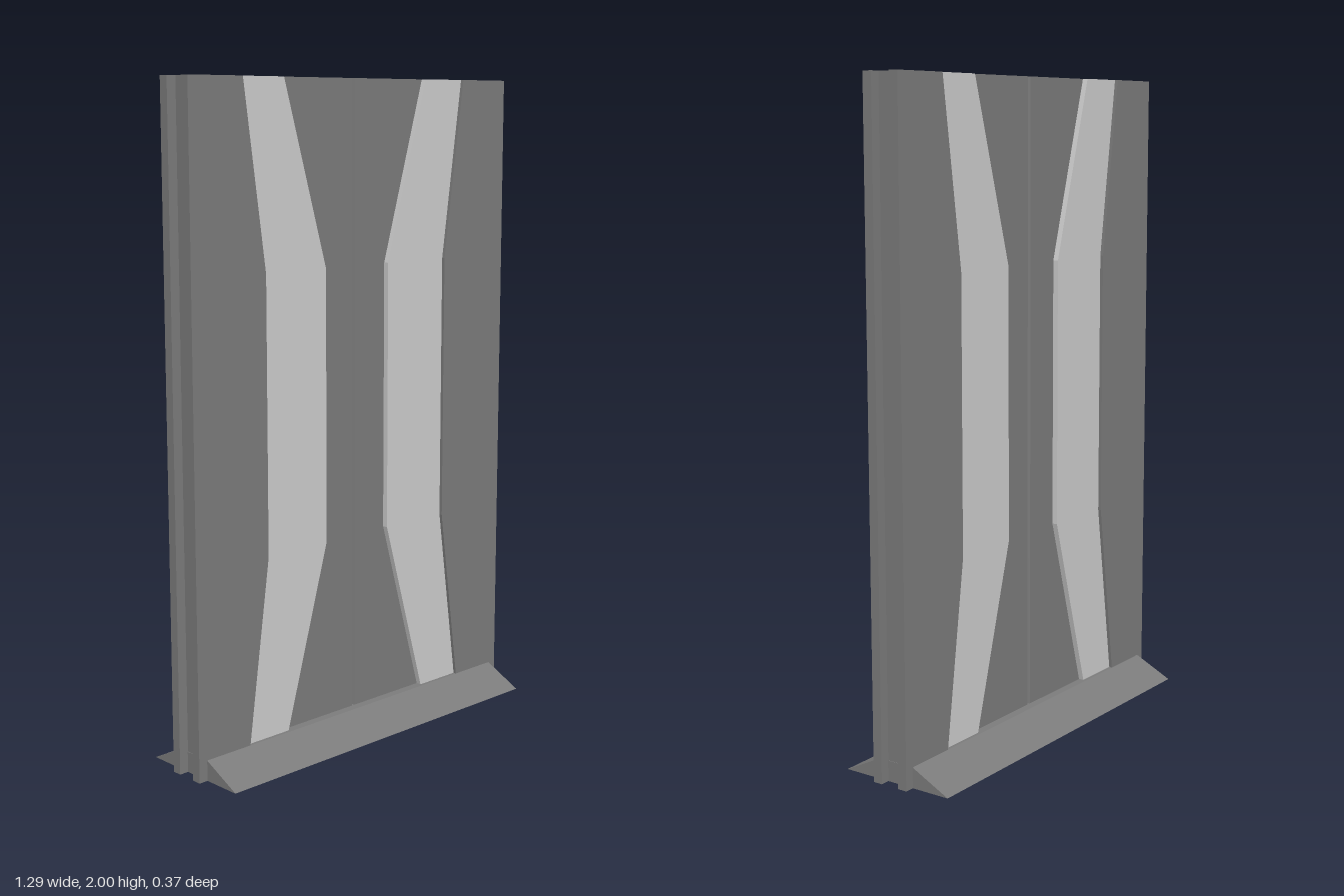
import * as THREE from 'three';

const dark = new THREE.MeshStandardMaterial({ color: 0x7b7b7b, flatShading: true });
const light = new THREE.MeshStandardMaterial({ color: 0xcccccc, flatShading: true });

const toShape = (points) => new THREE.Shape(points.map(([x, y]) => new THREE.Vector2(x, y)));

function extrude(name, points, depth, material) {
  const geometry = new THREE.ExtrudeGeometry(toShape(points), { depth, bevelEnabled: false });
  const mesh = new THREE.Mesh(geometry, material);
  mesh.name = name;
  return mesh;
}

// Bent edge running up the wall: wide at both ends, narrow in the middle
const bentEdge = (end, middle) => [[end, 0.06], [middle, 0.62], [middle, 1.45], [end, 2]];

// Layers on one half of one face, sides chosen by sx
function addLayers(face, sx) {
  const side = (points) => points.map(([x, y]) => [x * sx, y]);

  const band = extrude('lightBand',
    side([...bentEdge(0.29, 0.13), [0.61, 2], [0.61, 0.06]]), 0.018, light);
  band.position.z = 0.032;

  const panel = extrude('outerPanel',
    side([[0.45, 0], ...bentEdge(0.45, 0.372), [0.643, 2], [0.643, 0]]), 0.013, dark);
  panel.position.z = 0.047;

  // Thick rail along the outer edge
  const rail = new THREE.Mesh(new THREE.BoxGeometry(0.03, 2, 0.03), dark);
  rail.name = 'edgeRail';
  rail.position.set(sx * 0.628, 1, 0.045);

  face.add(band, panel, rail);
}

export function createModel() {
  const model = new THREE.Group();
  model.name = 'wallPanel';

  // Core slab with a V groove down the middle of both faces
  const half = [[0.612, -0.033], [0.612, 0.033], [0.007, 0.033], [0, 0.018], [-0.007, 0.033]];
  const core = extrude('core', [...half, ...half.map(([x, y]) => [-x, -y])], 2, dark);
  core.rotation.x = -Math.PI / 2;
  model.add(core);

  // Identical front and back faces
  for (const turn of [0, Math.PI]) {
    const face = new THREE.Group();
    face.name = turn ? 'backFace' : 'frontFace';
    face.rotation.y = turn;
    addLayers(face, 1);
    addLayers(face, -1);
    model.add(face);
  }

  // Sloped foot along the bottom of both faces
  const foot = extrude('foot',
    [[-0.185, 0], [0.185, 0], [0.06, 0.062], [-0.06, 0.062]], 1.228, dark);
  foot.rotation.y = Math.PI / 2;
  foot.position.x = -0.614;
  model.add(foot);

  return model;
}
